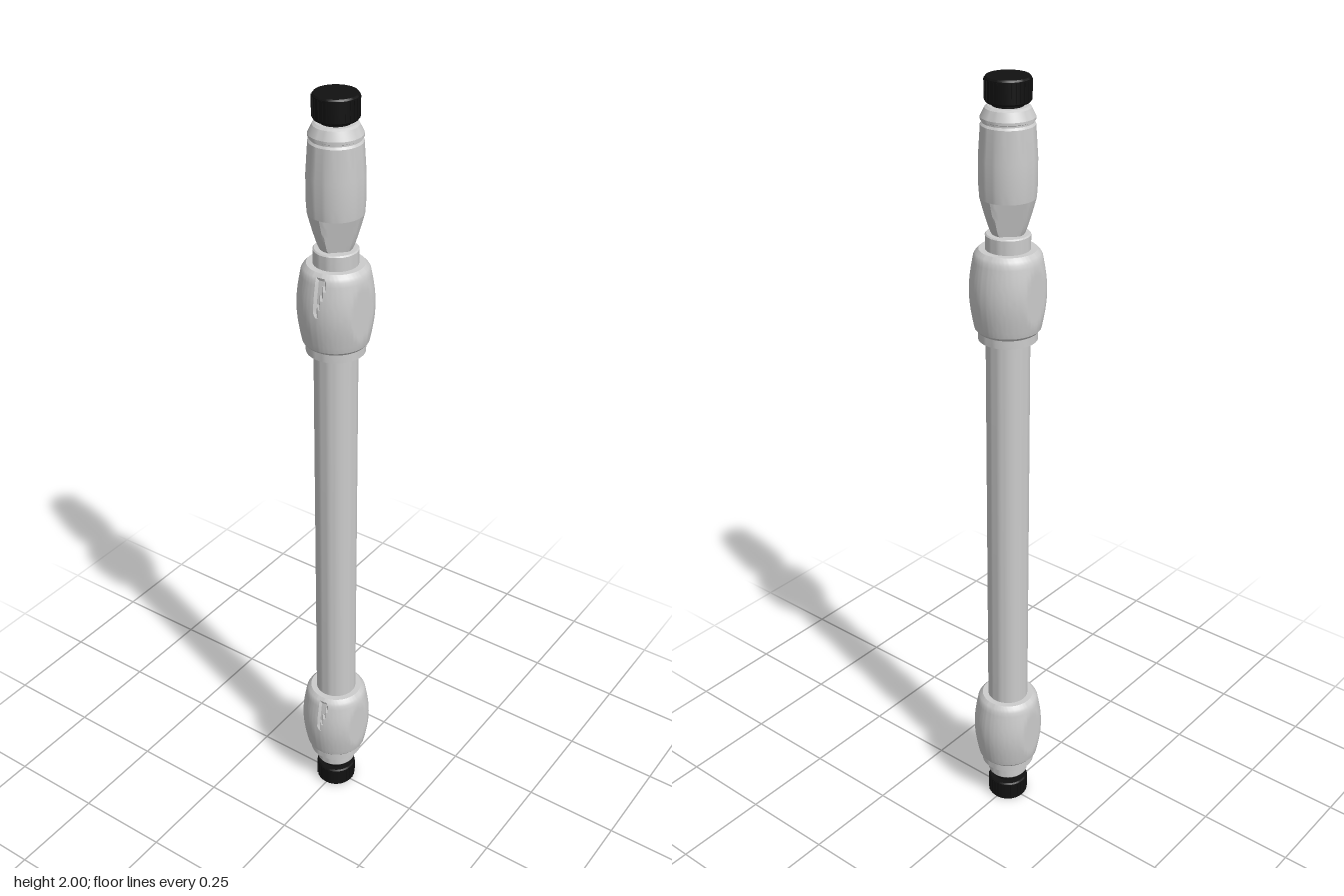
import * as THREE from 'three';
import { toCreasedNormals } from 'three/addons/utils/BufferGeometryUtils.js';

const grey = new THREE.MeshStandardMaterial({ color: 0xcccccc });
const black = new THREE.MeshStandardMaterial({ color: 0x111111 });

// Lathe from [radius, y] pairs, listed bottom to top; reshape may move each vertex
function turned(name, profile, material = grey, segments = 48, reshape = null) {
  const points = profile.map(([r, y]) => new THREE.Vector2(r, y));
  const geometry = new THREE.LatheGeometry(points, segments);
  if (reshape) {
    const pos = geometry.attributes.position;
    const v = new THREE.Vector3();
    for (let i = 0; i < pos.count; i++) {
      v.fromBufferAttribute(pos, i);
      reshape(v);
      pos.setXYZ(i, v.x, v.y, v.z);
    }
  }
  const mesh = new THREE.Mesh(toCreasedNormals(geometry, 0.4), material);
  mesh.name = name;
  return mesh;
}

// Pushes a vertex back onto a vertical plane facing angle (0 = +x, 90 = +z)
function flatten(v, degrees, distance) {
  const a = THREE.MathUtils.degToRad(degrees);
  const over = v.x * Math.cos(a) + v.z * Math.sin(a) - distance;
  if (over > 0) {
    v.x -= over * Math.cos(a);
    v.z -= over * Math.sin(a);
  }
}

// Barrel-shaped grip nut with flats on both sides and a tapered notch in front
function gripNut(name, y) {
  const profile = [[0, 0], [0.074, 0], [0.079, 0.006]];
  for (let i = 0; i <= 16; i++) {
    const t = i / 16;
    profile.push([0.08 + 0.011 * Math.sin(Math.PI * t), 0.01 + 0.175 * t]);
  }
  profile.push([0.076, 0.192], [0.068, 0.2], [0, 0.2]);
  const nut = turned(name, profile, grey, 96, (v) => {
    flatten(v, 180, 0.083);
    flatten(v, 9, 0.083);
    const width = 0.02 * (v.y - 0.1) / 0.09;
    if (v.z > 0.04 && v.y > 0.1 && v.y < 0.19 && v.x > 0.004 && v.x < 0.006 + width) v.z -= 0.006;
  });
  nut.position.y = y;
  return nut;
}

// Black end cap with fine ribs round its rim
function endCap(name, y, upsideDown) {
  const cap = new THREE.Group();
  cap.name = name;
  cap.add(turned('capBody', [
    [0, -0.01], [0.036, -0.01], [0.036, 0], [0.049, 0], [0.052, 0.004],
    [0.052, 0.052], [0.049, 0.056], [0, 0.056],
  ], black, 40));
  const ribs = new THREE.InstancedMesh(new THREE.BoxGeometry(0.003, 0.044, 0.003), black, 30);
  ribs.name = 'capRibs';
  const m = new THREE.Matrix4();
  for (let i = 0; i < 30; i++) {
    const a = (i / 30) * Math.PI * 2;
    m.makeRotationY(a).setPosition(0.052 * Math.sin(a), 0.028, 0.052 * Math.cos(a));
    ribs.setMatrixAt(i, m);
  }
  cap.add(ribs);
  cap.position.y = y;
  if (upsideDown) cap.rotation.x = Math.PI;
  return cap;
}

export function createModel() {
  const model = new THREE.Group();
  model.name = 'columnAssembly';

  // Main tube
  model.add(turned('tube', [[0, 0.33], [0.053, 0.33], [0.053, 1.39], [0, 1.39]]));

  // Lower fitting: stub, stepped collar, grip nut
  model.add(turned('lowerStub', [[0, 0.078], [0.051, 0.078], [0.053, 0.081], [0.053, 0.12], [0, 0.12]]));
  model.add(turned('lowerCollar', [[0, 0.117], [0.07, 0.117], [0.07, 0.136], [0.074, 0.14], [0, 0.14]]));
  model.add(gripNut('lowerNut', 0.14));

  // Upper fitting: collar, grip nut, stub
  model.add(turned('upperCollar', [[0, 1.385], [0.071, 1.385], [0.071, 1.406], [0.074, 1.41], [0, 1.41]]));
  model.add(gripNut('upperNut', 1.408));
  model.add(turned('upperStub', [[0, 1.6], [0.053, 1.6], [0.053, 1.642], [0.05, 1.645], [0, 1.645]]));

  // Tapered neck with two opposite wrench flats
  const neck = [[0, 1.64]];
  for (let i = 0; i <= 8; i++) neck.push([0.036 + 0.029 * Math.pow(i / 8, 0.8), 1.64 + 0.09 * i / 8]);
  neck.push([0, 1.73]);
  model.add(turned('connectorNeck', neck, grey, 64, (v) => {
    const limit = 0.03 + 0.018 * (v.y - 1.64) / 0.09;
    flatten(v, 45, limit);
    flatten(v, 225, limit);
  }));

  // Connector body, with a shoulder groove and rounded top ring
  model.add(turned('connectorBody', [
    [0, 1.73], [0.065, 1.73], [0.067, 1.76], [0.067, 1.82], [0.062, 1.895], [0.058, 1.9],
    [0.058, 1.904], [0.062, 1.906], [0.062, 1.912], [0.052, 1.932], [0.046, 1.936], [0, 1.936],
  ]));

  // End caps
  model.add(endCap('topCap', 1.944, false));
  model.add(endCap('bottomCap', 0.056, true));
  return model;
}
